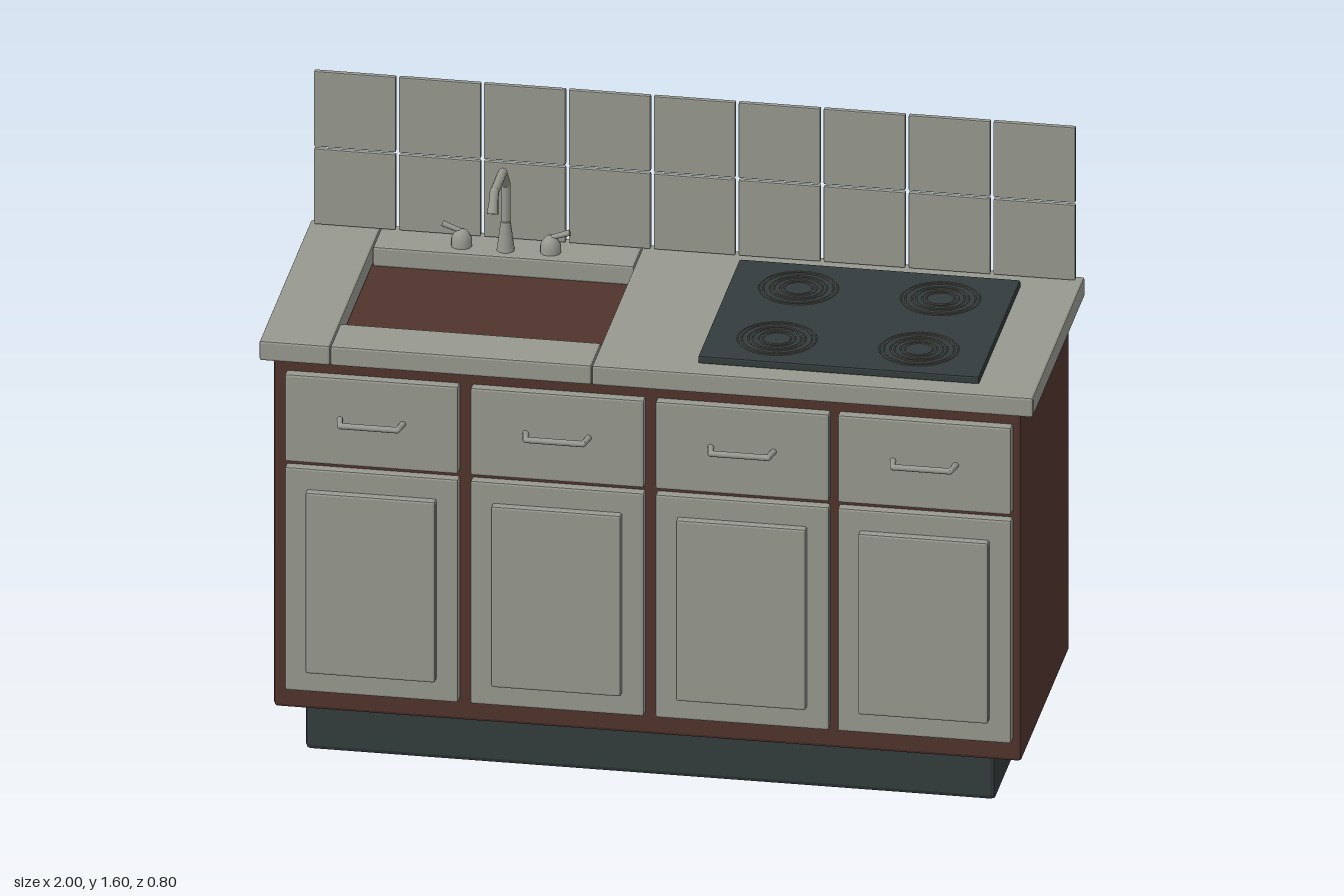
import * as THREE from 'three';
import { RoundedBoxGeometry } from 'three/addons/geometries/RoundedBoxGeometry.js';

const mat = (name, color) => {
  const m = new THREE.MeshStandardMaterial({ color });
  m.name = name;
  return m;
};

export function createModel() {
  const stone = mat('warm grey', 0x979990);
  const wood = mat('dark brown', 0x51342d);
  const black = mat('charcoal', 0x343c3d);
  const coil = mat('burner grey', 0x6c6a60);
  const root = new THREE.Group();
  root.name = 'kitchenCounter';

  const add = (parent, name, geometry, material) => {
    const mesh = new THREE.Mesh(geometry, material);
    mesh.name = name;
    parent.add(mesh);
    return mesh;
  };
  const group = (name, parent = root) => {
    const g = new THREE.Group();
    g.name = name;
    parent.add(g);
    return g;
  };
  // Box with faceted bevelled edges, given by its limits
  const box = (parent, name, material, [x0, x1], [y0, y1], [z0, z1], bevel = 0.006) => {
    const g = new RoundedBoxGeometry(x1 - x0, y1 - y0, z1 - z0, 1, bevel);
    g.computeVertexNormals();
    g.translate((x0 + x1) / 2, (y0 + y1) / 2, (z0 + z1) / 2);
    return add(parent, name, g, material);
  };
  // Straight tapered rod between two points
  const rod = (parent, name, a, b, r0, r1 = r0) => {
    const from = new THREE.Vector3(...a), to = new THREE.Vector3(...b);
    const dir = to.clone().sub(from);
    const mesh = add(parent, name, new THREE.CylinderGeometry(r1, r0, dir.length(), 10), stone);
    mesh.position.copy(from).add(to).multiplyScalar(0.5);
    mesh.quaternion.setFromUnitVectors(new THREE.Vector3(0, 1, 0), dir.normalize());
  };
  // Rods through a list of points, with rounded joints
  const pipe = (parent, name, points, r) => {
    for (let i = 1; i < points.length; i++) {
      rod(parent, name, points[i - 1], points[i], r);
      if (i < points.length - 1) {
        add(parent, name + 'Joint', new THREE.SphereGeometry(r, 10, 6), stone).position.set(...points[i]);
      }
    }
  };

  // Plinth and cabinet body
  box(root, 'plinth', black, [-0.895, 0.89], [0, 0.132], [-0.353, 0.28], 0.014);
  box(root, 'cabinet', wood, [-0.968, 0.965], [0.135, 1.117], [-0.366, 0.325], 0.01);

  // Four cabinet units, each with a drawer, a door and a handle
  for (const [x0, x1] of [[-0.935, -0.486], [-0.455, -0.006], [0.023, 0.472], [0.494, 0.943]]) {
    const unit = group('cabinetUnit');
    const c = (x0 + x1) / 2;
    box(unit, 'drawerFront', stone, [x0, x1], [0.835, 1.08], [0.315, 0.35]);
    box(unit, 'door', stone, [x0, x1], [0.195, 0.82], [0.315, 0.35]);
    box(unit, 'doorPanel', stone, [c - 0.168, c + 0.168], [0.255, 0.762], [0.34, 0.371]);
    pipe(unit, 'handle', [
      [c - 0.082, 0.965, 0.345], [c - 0.074, 0.965, 0.39],
      [c + 0.074, 0.965, 0.39], [c + 0.082, 0.965, 0.345],
    ], 0.008);
  }

  // Worktop in sections around the sink opening
  const top = group('worktop');
  const yTop = [1.115, 1.17];
  box(top, 'worktopRight', stone, [-1, -0.817], yTop, [-0.4, 0.355]);
  box(top, 'worktopLeft', stone, [-0.14, 1], yTop, [-0.4, 0.355]);
  box(top, 'sinkFrontRim', stone, [-0.816, -0.141], yTop, [0.212, 0.355]);
  box(top, 'sinkBackRim', stone, [-0.816, -0.141], yTop, [-0.4, -0.26]);

  // Tiled splashback
  const tiles = group('splashback');
  const pitch = 1.976 / 9;
  for (let row = 0; row < 2; row++) {
    for (let i = 0; i < 9; i++) {
      const x = -0.986 + i * pitch, y = 1.175 + row * 0.217;
      box(tiles, 'tile', stone, [x, x + pitch - 0.008], [y, y + 0.211], [-0.375, -0.36], 0.003);
    }
  }

  // Hob with four burners of concentric rings
  const hob = group('hob');
  box(hob, 'hobPlate', black, [0.123, 0.85], [1.168, 1.19], [-0.31, 0.292], 0.005);
  for (const x of [0.303, 0.67]) {
    for (const z of [-0.157, 0.155]) {
      for (const r of [0.036, 0.047, 0.062, 0.073, 0.09, 0.101]) {
        const ring = add(hob, 'burnerRing', new THREE.TorusGeometry(r, 0.002, 4, 32), coil);
        ring.rotation.x = -Math.PI / 2;
        ring.position.set(x, 1.192, z);
      }
    }
  }

  // Tap with an angular spout
  const tap = group('tap');
  const tx = -0.48;
  rod(tap, 'tapFoot', [tx, 1.165, -0.303], [tx, 1.21, -0.303], 0.024, 0.018);
  rod(tap, 'tapCollar', [tx, 1.21, -0.303], [tx, 1.25, -0.303], 0.018, 0.013);
  pipe(tap, 'spout', [
    [tx, 1.17, -0.308], [tx, 1.352, -0.308], [tx, 1.406, -0.26],
    [tx, 1.406, -0.14], [tx, 1.375, -0.123],
  ], 0.012);
  rod(tap, 'spoutTip', [tx, 1.385, -0.129], [tx, 1.355, -0.114], 0.012, 0.015);

  // Mirrored tap knobs with levers
  for (const side of [-1, 1]) {
    const x = tx + side * 0.115, z = -0.31;
    const knob = group('tapKnob');
    const profile = [[0.027, 0], [0.027, 0.022], [0.02, 0.036], [0.012, 0.045], [0, 0.048]]
      .map(([r, y]) => new THREE.Vector2(r, y));
    add(knob, 'knobBody', new THREE.LatheGeometry(profile, 12), stone).position.set(x, 1.168, z);
    rod(knob, 'knobLever', [x - side * 0.005, 1.208, z], [x + side * 0.05, 1.228, z], 0.006, 0.008);
  }
  return root;
}
